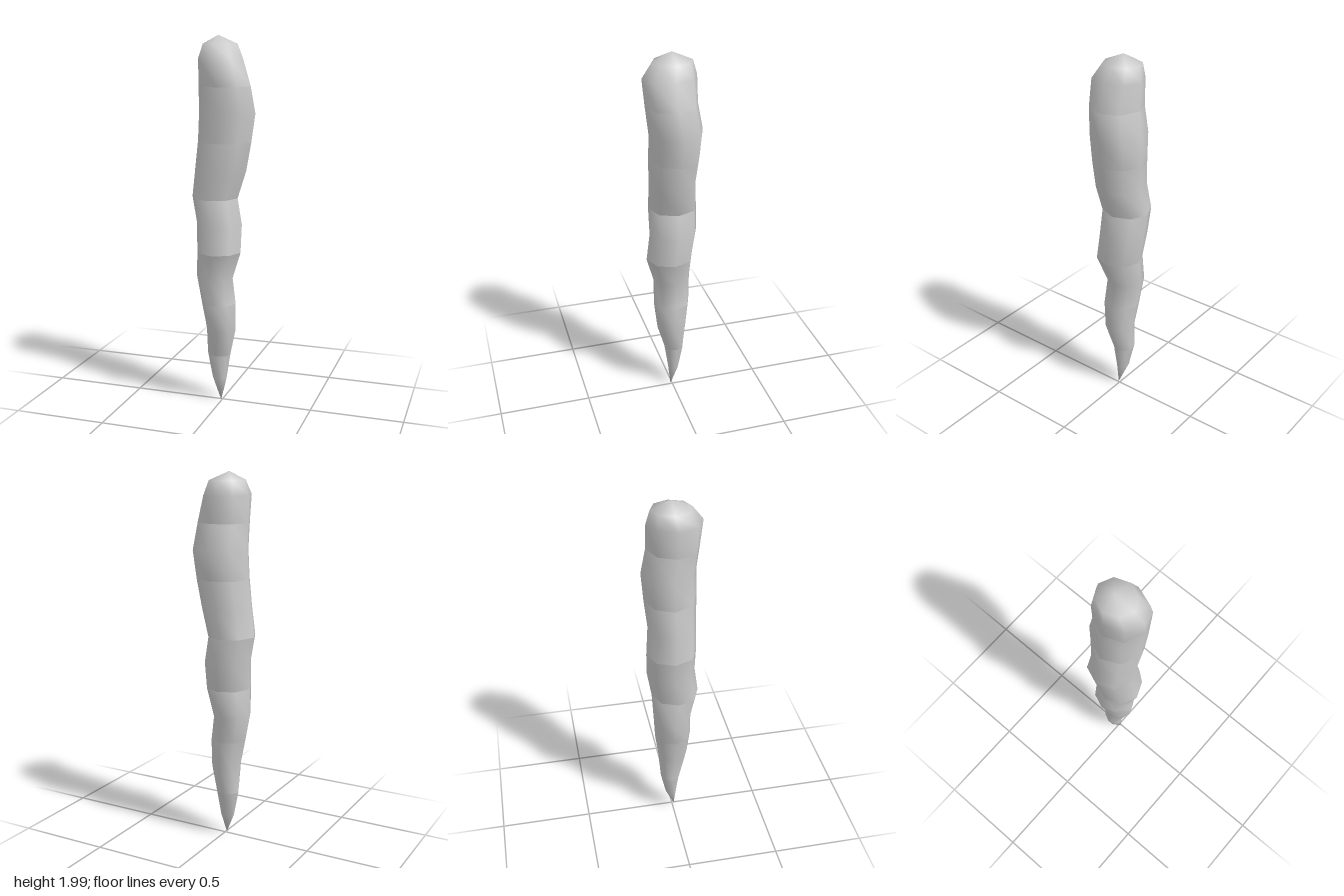
import * as THREE from 'three';
import { mergeVertices } from 'three/addons/utils/BufferGeometryUtils.js';

const SIDES = 8;

// Cross-sections from tip to crown: height, min x, max x, back z, front z
const rings = [
  [0.01, -0.005, -0.005, 0.01, 0.01],
  [0.13, -0.06, 0.02, -0.04, 0.02],
  [0.27, -0.09, 0.04, -0.07, 0.04],
  [0.42, -0.09, 0.075, -0.08, 0.085],
  [0.57, -0.12, 0.075, -0.1, 0.1],
  [0.71, -0.15, 0.055, -0.11, 0.095],
  [0.86, -0.14, 0.105, -0.115, 0.14],
  [1.01, -0.15, 0.105, -0.14, 0.12],
  [1.15, -0.175, 0.08, -0.145, 0.12],
  [1.3, -0.155, 0.13, -0.13, 0.125],
  [1.45, -0.14, 0.155, -0.145, 0.13],
  [1.6, -0.135, 0.175, -0.155, 0.13],
  [1.74, -0.13, 0.155, -0.13, 0.145],
  [1.88, -0.13, 0.115, -0.13, 0.155],
  [1.955, -0.11, 0.08, -0.11, 0.1],
  [2.0, -0.025, -0.025, -0.005, -0.005],
];

// Skin a run of cross-sections with an eight-sided tube, smooth within the run
function loft(run) {
  const positions = [];
  const index = [];
  run.forEach(([y, x0, x1, z0, z1], r) => {
    for (let s = 0; s < SIDES; s++) {
      const a = (s / SIDES) * Math.PI * 2;
      positions.push(
        (x0 + x1) / 2 + Math.cos(a) * (x1 - x0) / 2,
        y,
        (z0 + z1) / 2 + Math.sin(a) * (z1 - z0) / 2
      );
      if (r === run.length - 1) continue;
      const p = r * SIDES + s;
      const q = r * SIDES + (s + 1) % SIDES;
      // Skip the collapsed triangles at the two pointed ends
      const closedBelow = x0 === x1;
      const closedAbove = run[r + 1][1] === run[r + 1][2];
      if (!closedBelow) index.push(p, closedAbove ? p + SIDES : q + SIDES, q);
      if (!closedAbove) index.push(p, p + SIDES, q + SIDES);
    }
  });
  const geometry = new THREE.BufferGeometry();
  geometry.setAttribute('position', new THREE.Float32BufferAttribute(positions, 3));
  geometry.setIndex(index);
  const merged = mergeVertices(geometry, 1e-5);
  merged.computeVertexNormals();
  return merged;
}

export function createModel() {
  const group = new THREE.Group();
  group.name = 'taperedRoot';
  const material = new THREE.MeshStandardMaterial({ color: 0xcccccc });

  // Separate two-ring sections leave a soft crease at every joint
  const starts = [0, 2, 4, 6, 8, 10, 12];
  starts.forEach((start, i) => {
    const last = i === starts.length - 1;
    const end = last ? rings.length - 1 : starts[i + 1];
    const mesh = new THREE.Mesh(loft(rings.slice(start, end + 1)), material);
    mesh.name = i === 0 ? 'tip' : last ? 'crown' : `bodySection${i}`;
    group.add(mesh);
  });
  return group;
}
